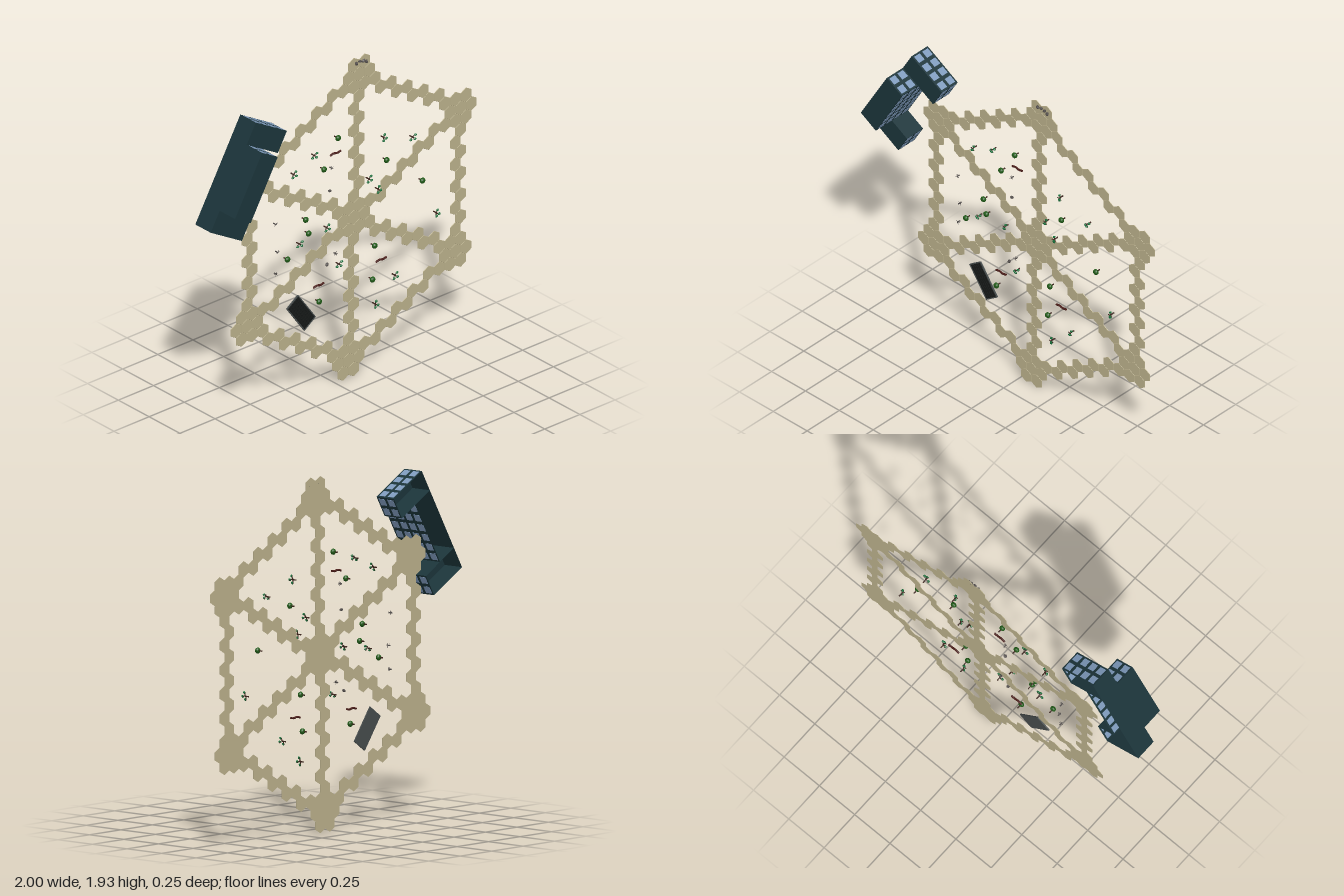
import * as THREE from 'three';

const BASE = -0.125;            // plane of the ground, which faces +z
const R = 0.0439;               // hexagon tile radius
const W = R * Math.sqrt(3);     // distance between neighbouring tiles
const CENTRE = [0.126, 0.966];

const paint = (color, flat = false) =>
  new THREE.MeshStandardMaterial({ color, flatShading: flat, side: THREE.DoubleSide });
const sand = paint(0xb9af8a, true), wallPaint = paint(0x1b343a), glass = paint(0x7f9bbd);
const leaf = paint(0x1f5a16, true), pine = paint(0x17703a, true), bark = paint(0x3d241c, true);
const logPaint = paint(0x4a1c18, true), stone = paint(0x55504e, true);
const dark = paint(0x151817), frame = paint(0x454b4b);

function add(parent, name, geometry, material, x = 0, y = 0, z = 0) {
  const mesh = new THREE.Mesh(geometry, material);
  mesh.name = name;
  mesh.position.set(x, y, z);
  parent.add(mesh);
  return mesh;
}

function group(parent, name, x, y, z = BASE, turn = 0) {
  const g = new THREE.Group();
  g.name = name;
  g.position.set(x, y, z);
  g.rotation.z = turn;
  parent.add(g);
  return g;
}

// Wheel of hexagon tiles: seven rosettes, six spokes and six rim paths
function buildPaths(root) {
  const paths = group(root, 'hexPaths', CENTRE[0], CENTRE[1]);
  const tile = new THREE.CylinderGeometry(R * 0.97, R, 0.003, 6).rotateX(Math.PI / 2);
  const step = (p, k) => [p[0] + W * Math.cos(k * Math.PI / 3), p[1] + W * Math.sin(k * Math.PI / 3)];
  const placed = new Set();
  const put = (p) => {
    const key = p.map((v) => Math.round(v * 200)).join();
    if (placed.has(key)) return;
    placed.add(key);
    add(paths, 'pathTile', tile, sand, p[0], p[1], 0.0015);
  };
  const rosette = (p) => {
    put(p);
    for (let k = 0; k < 6; k++) put(step(p, k));
  };
  // Zigzag of 13 tiles, alternating between two neighbouring directions
  const walk = (start, k) => {
    let p = start;
    for (let i = 0; i < 13; i++) {
      p = step(p, k + (i % 2));
      put(p);
    }
    return p;
  };
  rosette([0, 0]);
  for (let k = 0; k < 6; k++) {
    const hub = walk([0, 0], k);
    rosette(hub);
    walk(hub, k + 2);
  }
}

// Block with no floor
function block(parent, name, x, y, w, h, d) {
  const g = new THREE.BoxGeometry(w, h, d);
  g.setIndex(Array.from(g.index.array).slice(0, 30));
  g.clearGroups();
  add(parent, name, g, wallPaint, x + w / 2, y + h / 2, d / 2);
}

// C-shaped building with windows on its right-hand and upper walls
function buildBuilding(root) {
  const b = group(root, 'building', -1.0, 1.318, BASE, -Math.PI / 6);
  const m = 0.064, f = 0.0625;
  block(b, 'lowerWing', 0, 0, 4 * m, 2 * m, 2 * f);
  block(b, 'mainBlock', 0, 2 * m, 2 * m, 6 * m, 4 * f);
  block(b, 'upperWing', 0, 8 * m, 4 * m, 2 * m, 2 * f);
  const sidePane = new THREE.BoxGeometry(0.003, 0.043, 0.043);
  const topPane = new THREE.BoxGeometry(0.043, 0.003, 0.043);
  const sideWindows = (x, first, count, floors) => {
    for (let i = first; i < first + count; i++)
      for (let j = 0; j < floors; j++)
        add(b, 'window', sidePane, glass, x, (i + 0.5) * m, (j + 0.5) * f);
  };
  const topWindows = (y, count, low, high) => {
    for (let i = 0; i < count; i++)
      for (let j = low; j < high; j++)
        add(b, 'window', topPane, glass, (i + 0.5) * m, y, (j + 0.5) * f);
  };
  sideWindows(4 * m, 0, 2, 2);
  sideWindows(2 * m, 2, 6, 4);
  sideWindows(4 * m, 8, 2, 2);
  topWindows(10 * m, 4, 0, 2);
  topWindows(8 * m, 2, 2, 4);
}

// Framed dark panel with a grid of small cells
function buildPanel(root) {
  const p = group(root, 'panel', -0.257, 0.524, BASE + 0.008, -0.95);
  add(p, 'panelBoard', new THREE.BoxGeometry(0.215, 0.1, 0.004), frame);
  add(p, 'panelFace', new THREE.BoxGeometry(0.203, 0.088, 0.003), dark, 0, 0, 0.002);
  const cell = new THREE.BoxGeometry(0.013, 0.012, 0.004);
  for (let i = 0; i < 11; i++)
    for (let j = 0; j < 5; j++)
      add(p, 'panelCell', cell, dark, (i - 5) * 0.0178, (j - 2) * 0.0165, 0.004);
  for (const s of [-1, 1]) {
    add(p, 'panelRim', new THREE.BoxGeometry(0.215, 0.006, 0.008), frame, 0, s * 0.047, 0.002);
    add(p, 'panelRim', new THREE.BoxGeometry(0.006, 0.1, 0.008), frame, s * 0.1045, 0, 0.002);
  }
}

const trunk = new THREE.CylinderGeometry(0.003, 0.004, 0.03, 6).rotateX(Math.PI / 2);
const crown = new THREE.IcosahedronGeometry(0.017, 1);
const tuft = new THREE.IcosahedronGeometry(0.009, 0);
const branch = new THREE.CylinderGeometry(0.002, 0.003, 0.028, 5);

function roundTree(root, [x, y]) {
  const t = group(root, 'roundTree', x, y);
  add(t, 'trunk', trunk, bark, 0, 0, 0.015);
  add(t, 'crown', crown, leaf, 0, 0, 0.03).scale.z = 0.8;
}

// Thin tree with several leaf tufts on side branches
function branchTree(root, [x, y], i) {
  const t = group(root, 'branchTree', x, y, BASE, i * 0.4 % 1.2);
  add(t, 'trunk', trunk, bark, 0, 0, 0.015);
  [[0.015, 0.012, 0.03], [-0.014, -0.012, 0.026], [0.004, -0.006, 0.038]].forEach(([a, b, c]) => {
    add(t, 'leafTuft', tuft, pine, a, b, c).scale.set(1.1, 0.8, 0.8);
    const arm = add(t, 'branch', branch, bark, a / 2, b / 2, c - 0.005);
    arm.rotation.z = Math.atan2(b, a) - Math.PI / 2;
  });
}

// Bare twigs crossing above the ground
function twigs(root, [x, y], i) {
  const t = group(root, 'twigs', x, y, BASE, i * 0.8);
  add(t, 'trunk', trunk, stone, 0, 0, 0.012).scale.z = 0.7;
  for (let k = 0; k < 3; k++) {
    const arm = add(t, 'twig', branch, stone, 0, 0, 0.014 + k * 0.003);
    arm.rotation.z = k * Math.PI / 3;
    arm.scale.set(0.5, 0.9, 0.5);
  }
}

function fallenLog(root, [x, y]) {
  const curve = new THREE.CatmullRomCurve3([[-0.037, -0.003, 0.008], [-0.012, 0.003, 0.009],
    [0.012, -0.002, 0.009], [0.037, 0.002, 0.008]].map((p) => new THREE.Vector3(...p)));
  add(root, 'fallenLog', new THREE.TubeGeometry(curve, 8, 0.006, 6), logPaint, x, y, BASE);
}

export function createModel() {
  const root = new THREE.Group();
  root.name = 'hexGarden';
  buildPaths(root);
  buildBuilding(root);
  buildPanel(root);

  [[-0.01, 1.505], [-0.11, 1.35], [0.335, 1.25], [-0.24, 1.09], [-0.22, 1.0], [0.59, 1.035],
    [-0.37, 0.895], [0.25, 0.76], [-0.145, 0.56], [0.235, 0.56]].forEach((p) => roundTree(root, p));
  [[-0.175, 1.455], [-0.32, 1.39], [0.32, 1.39], [0.525, 1.32], [0.215, 1.175], [0.28, 1.09],
    [-0.28, 0.955], [-0.085, 0.985], [0.695, 0.8], [0.0, 0.735], [0.4, 0.525], [0.26, 0.4]]
    .forEach((p, i) => branchTree(root, p, i));
  [[-0.445, 1.13], [-0.43, 0.955], [-0.44, 0.825], [-0.015, 0.8], [-0.045, 1.33]]
    .forEach((p, i) => twigs(root, p, i));
  [[-0.01, 1.405], [-0.13, 0.645], [0.315, 0.645]].forEach((p) => fallenLog(root, p));

  // Stones in the beds and a small cluster on the top rosette
  const rock = new THREE.DodecahedronGeometry(0.011, 0);
  [[-0.05, 1.19], [-0.07, 0.75], [0.14, 1.895], [0.165, 1.9], [0.19, 1.895], [0.21, 1.885]]
    .forEach(([x, y], i) => {
      const r = add(root, 'rock', rock, stone, x, y, BASE + 0.008);
      r.scale.set(1.1, 0.7 + 0.1 * (i % 3), 0.8);
      r.rotation.z = i;
    });
  return root;
}
